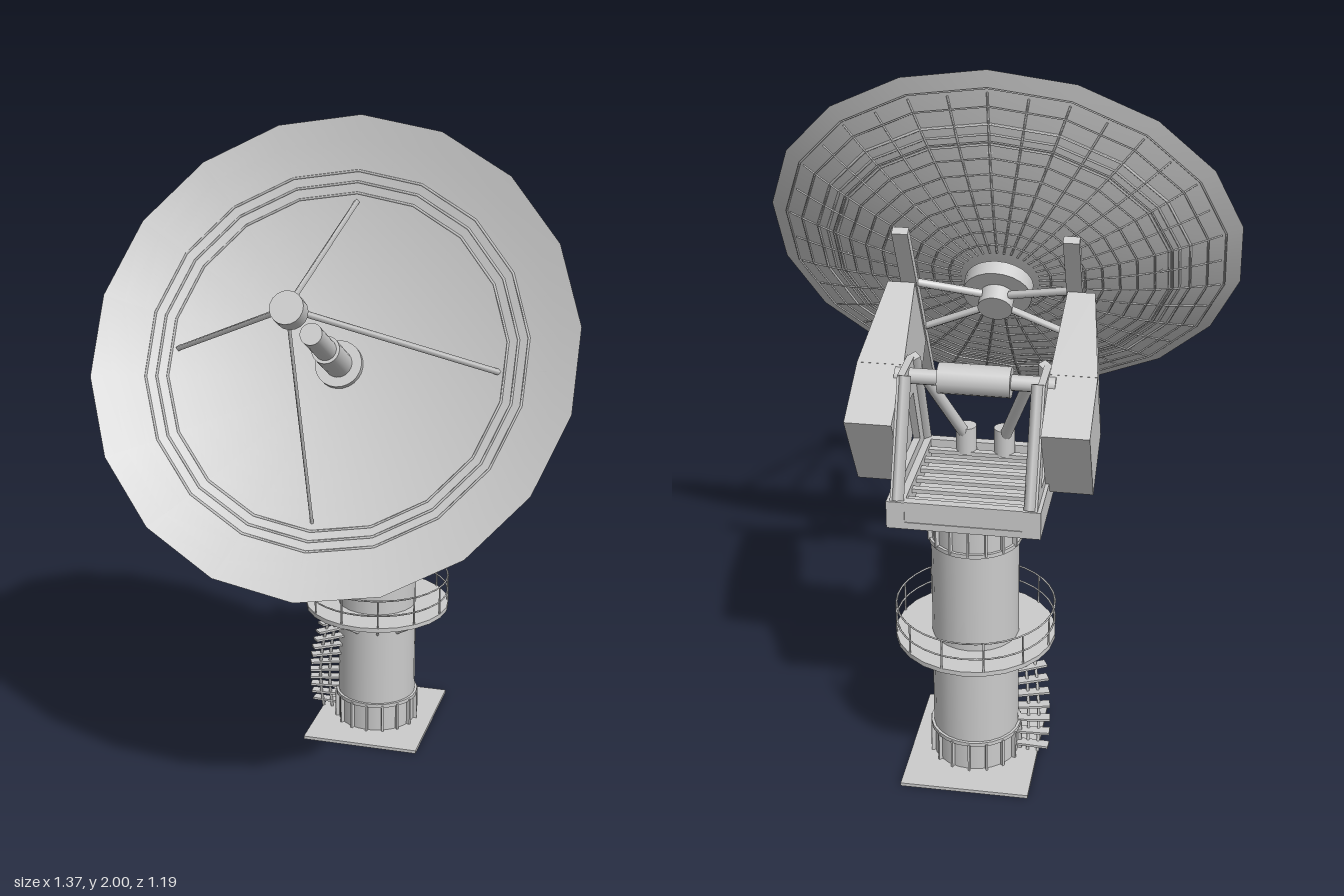
import * as THREE from 'three';

const mat = new THREE.MeshStandardMaterial({ color: 0xcccccc, side: THREE.DoubleSide });
const V = (x, y, z) => new THREE.Vector3(x, y, z);

function add(parent, name, geo, x = 0, y = 0, z = 0) {
  const m = new THREE.Mesh(geo, mat);
  m.name = name;
  m.position.set(x, y, z);
  parent.add(m);
  return m;
}
const box = (p, name, w, h, d, x, y, z) => add(p, name, new THREE.BoxGeometry(w, h, d), x, y, z);
const cyl = (p, name, r1, r2, h, x, y, z, n = 24, open = false) =>
  add(p, name, new THREE.CylinderGeometry(r1, r2, h, n, 1, open), x, y, z);
function ring(p, name, r, tube, y, seg = 36) {
  const m = add(p, name, new THREE.TorusGeometry(r, tube, 4, seg), 0, y, 0);
  m.rotation.x = Math.PI / 2;
  return m;
}
// Round or square bar between two points
function bar(p, name, a, b, r, n = 8) {
  const d = b.clone().sub(a);
  const m = add(p, name, new THREE.CylinderGeometry(r, r, d.length(), n));
  m.position.copy(a).add(b).multiplyScalar(0.5);
  m.quaternion.setFromUnitVectors(V(0, 1, 0), d.normalize());
  return m;
}
// Repeat around the vertical axis: local +z points outwards
function around(p, name, count, make, start = 0) {
  for (let i = 0; i < count; i++) {
    const g = new THREE.Group();
    g.name = name;
    g.rotation.y = start + (i / count) * Math.PI * 2;
    make(g, i);
    p.add(g);
  }
}
// Flat plate with an outline in (z, y), centred on x
function sidePlate(p, name, outline, x, thick, holes = []) {
  const toShape = (C, pts) => new C(pts.map(([z, y]) => new THREE.Vector2(-z, y)));
  const s = toShape(THREE.Shape, outline);
  s.holes = holes.map((h) => toShape(THREE.Path, h));
  const g = new THREE.ExtrudeGeometry(s, { depth: thick, bevelEnabled: false });
  g.translate(0, 0, -thick / 2).rotateY(Math.PI / 2);
  return add(p, name, g, x, 0, 0);
}

function buildTower() {
  const t = new THREE.Group();
  t.name = 'tower';
  t.position.z = -0.36;
  // Base plate with a round opening
  const s = new THREE.Shape([[-0.185, -0.222], [0.185, -0.222], [0.185, 0.222], [-0.185, 0.222]]
    .map(([x, y]) => new THREE.Vector2(x, y)));
  s.holes.push(new THREE.Path().absarc(0, 0, 0.12, 0, Math.PI * 2, true));
  add(t, 'basePlate', new THREE.ExtrudeGeometry(s, { depth: 0.01, bevelEnabled: false, curveSegments: 16 })
    .rotateX(-Math.PI / 2));
  cyl(t, 'column', 0.125, 0.125, 0.82, 0, 0.41, 0, 24, true);
  for (const y of [0.1, 0.73, 0.81]) cyl(t, 'flange', 0.133, 0.133, 0.012, 0, y, 0, 24);
  for (const y of [0.055, 0.775])
    around(t, 'gusset', 16, (g) => box(g, 'gussetPlate', 0.006, 0.09, 0.012, 0, y, 0.13));
  cyl(t, 'slewRing', 0.115, 0.115, 0.03, 0, 0.83, 0);

  // Walkway with rails and brackets
  cyl(t, 'walkway', 0.23, 0.23, 0.014, 0, 0.412, 0, 24);
  for (const y of [0.46, 0.51]) ring(t, 'rail', 0.227, 0.003, y);
  around(t, 'railPost', 12, (g) => bar(g, 'post', V(0, 0.41, 0.227), V(0, 0.51, 0.227), 0.003, 5), 0.26);
  around(t, 'bracket', 12, (g) => bar(g, 'brace', V(0, 0.35, 0.125), V(0, 0.405, 0.215), 0.005, 4), 0.26);

  // Stair winding from the right side towards the front
  const at = (f, r) => V(-Math.cos(f) * r, 0, Math.sin(f) * r);
  const path = (r) => new THREE.CatmullRomCurve3([0, 0.25, 0.5, 0.75, 1].map((k) => at(k * 0.9 - 0.05, r).setY(0.01 + k * 0.39)));
  for (const r of [0.155, 0.185])
    add(t, 'stringer', new THREE.TubeGeometry(path(r), 16, 0.005, 5));
  for (let i = 0; i < 11; i++) {
    const f = (i / 10) * 0.9 - 0.05;
    const c = at(f, 0.17);
    box(t, 'tread', 0.095, 0.007, 0.03, c.x, 0.035 + i * 0.035, c.z).rotation.y = f;
  }
  return t;
}

function buildMount() {
  const m = new THREE.Group();
  m.name = 'mount';
  m.position.z = -0.35;
  // Turntable frame with open, slatted middle
  box(m, 'deck', 0.42, 0.02, 0.41, 0, 0.85, 0);
  for (const s of [-1, 1]) {
    box(m, 'sideBeam', 0.05, 0.08, 0.41, s * 0.185, 0.88, 0);
    box(m, 'endBeam', 0.42, 0.08, 0.025, 0, 0.88, s * 0.19);
    // Yoke cheeks
    sidePlate(m, 'yokeCheek', [[-0.2, 0.92], [0.2, 0.92], [0.07, 1.23], [-0.07, 1.23]], s * 0.19, 0.02,
      [[[-0.12, 0.95], [0.12, 0.95], [0.04, 1.13], [-0.04, 1.13]]]);
    bar(m, 'cheekEdge', V(s * 0.18, 0.92, -0.195), V(s * 0.18, 1.23, -0.065), 0.018, 4);
    bar(m, 'cheekEdge', V(s * 0.18, 0.92, 0.195), V(s * 0.18, 1.23, 0.065), 0.018, 4);
    // Elevation drives
    bar(m, 'driveCylinder', V(s * 0.14, 1.18, 0.03), V(s * 0.055, 0.95, 0.16), 0.017, 12);
    cyl(m, 'driveMotor', 0.03, 0.03, 0.08, s * 0.055, 0.94, 0.165, 16);
  }
  for (let i = 0; i < 6; i++) box(m, 'slat', 0.33, 0.012, 0.02, 0, 0.9, -0.15 + i * 0.06);
  box(m, 'cableBox', 0.06, 0.04, 0.045, 0, 0.82, 0.17);
  // Elevation axle
  bar(m, 'axle', V(-0.22, 1.2, 0), V(0.22, 1.2, 0), 0.022, 16);
  bar(m, 'axleHousing', V(-0.1, 1.2, 0), V(0.1, 1.2, 0), 0.043, 16);
  return m;
}

// Tilted assembly: local y is the dish axis, local -z points up the dish
function buildDish() {
  const d = new THREE.Group();
  d.name = 'dishAssembly';
  d.position.set(0, 1.395, 0.2025);
  d.rotation.x = Math.PI / 3;
  const R = 0.697, depth = 0.14;
  const h = (r) => -depth * (1 - (r / R) ** 2);
  const profile = [];
  for (let i = 0; i <= 12; i++) profile.push(new THREE.Vector2((R * i) / 12, h((R * i) / 12)));
  add(d, 'reflector', new THREE.LatheGeometry(profile, 18));

  // Backing rings and ribs; the three middle rings also show inside
  for (let r = 0.15; r < 0.68; r += 0.05) ring(d, 'backRing', r, 0.003, h(r) - 0.003, 18).rotation.z = Math.PI / 2;
  for (const r of [0.49, 0.52, 0.55]) ring(d, 'panelSeam', r, 0.004, h(r), 18).rotation.z = Math.PI / 2;
  around(d, 'backRib', 36, (g, i) => {
    const k = i % 2 ? Math.cos(Math.PI / 18) : 1;
    for (let j = 2; j < 11; j++) {
      const a = (R * j) / 12, b = (R * (j + 1)) / 12;
      bar(g, 'rib', V(0, h(a) - 0.003, a * k), V(0, h(b) - 0.003, b * k), 0.003, 4);
    }
  });

  // Feed horn
  cyl(d, 'hornFlange', 0.068, 0.068, 0.02, 0, h(0) + 0.012, 0);
  cyl(d, 'hornBase', 0.04, 0.04, 0.17, 0, -0.055, 0);
  cyl(d, 'hornTip', 0.031, 0.031, 0.16, 0, 0.108, 0);

  // Subreflector on four legs
  cyl(d, 'subreflector', 0.045, 0.045, 0.05, 0, 0.41, 0, 18);
  cyl(d, 'subreflectorNeck', 0.045, 0.03, 0.03, 0, 0.37, 0, 18);
  around(d, 'leg', 4, (g, i) =>
    bar(g, 'legBar', V(0, h(0.465), 0.465), V(0, 0.39, 0.035), i === 0 ? 0.005 : 0.009, 4));

  // Hub and cradle
  cyl(d, 'hubDisc', 0.1, 0.1, 0.045, 0, -0.178, 0);
  cyl(d, 'hubStub', 0.05, 0.05, 0.06, 0, -0.22, 0);
  for (const s of [-1, 1]) {
    box(d, 'cradleBar', 0.045, 0.025, 0.69, s * 0.235, -0.25, 0.02);
    for (const z of [-0.1, 0.12])
      bar(d, 'cradleStrut', V(s * 0.04, -0.22, z * 0.3), V(s * 0.235, -0.245, z), 0.012, 6);

    // Counterweight block with an arm narrowing to the cradle bar
    box(d, 'counterweight', 0.13, 0.2, 0.273, s * 0.265, -0.65, 0.018);
    const arm = new THREE.BoxGeometry(0.13, 0.285, 0.273);
    const p = arm.attributes.position;
    for (let i = 0; i < p.count; i++)
      if (p.getY(i) > 0) p.setX(i, p.getX(i) * 0.6 - s * 0.01);
    arm.computeVertexNormals();
    add(d, 'counterweightArm', arm, s * 0.265, -0.407, 0.018);
  }
  return d;
}

export function createModel() {
  const model = new THREE.Group();
  model.name = 'dishAntenna';
  model.add(buildTower(), buildMount(), buildDish());
  return model;
}
